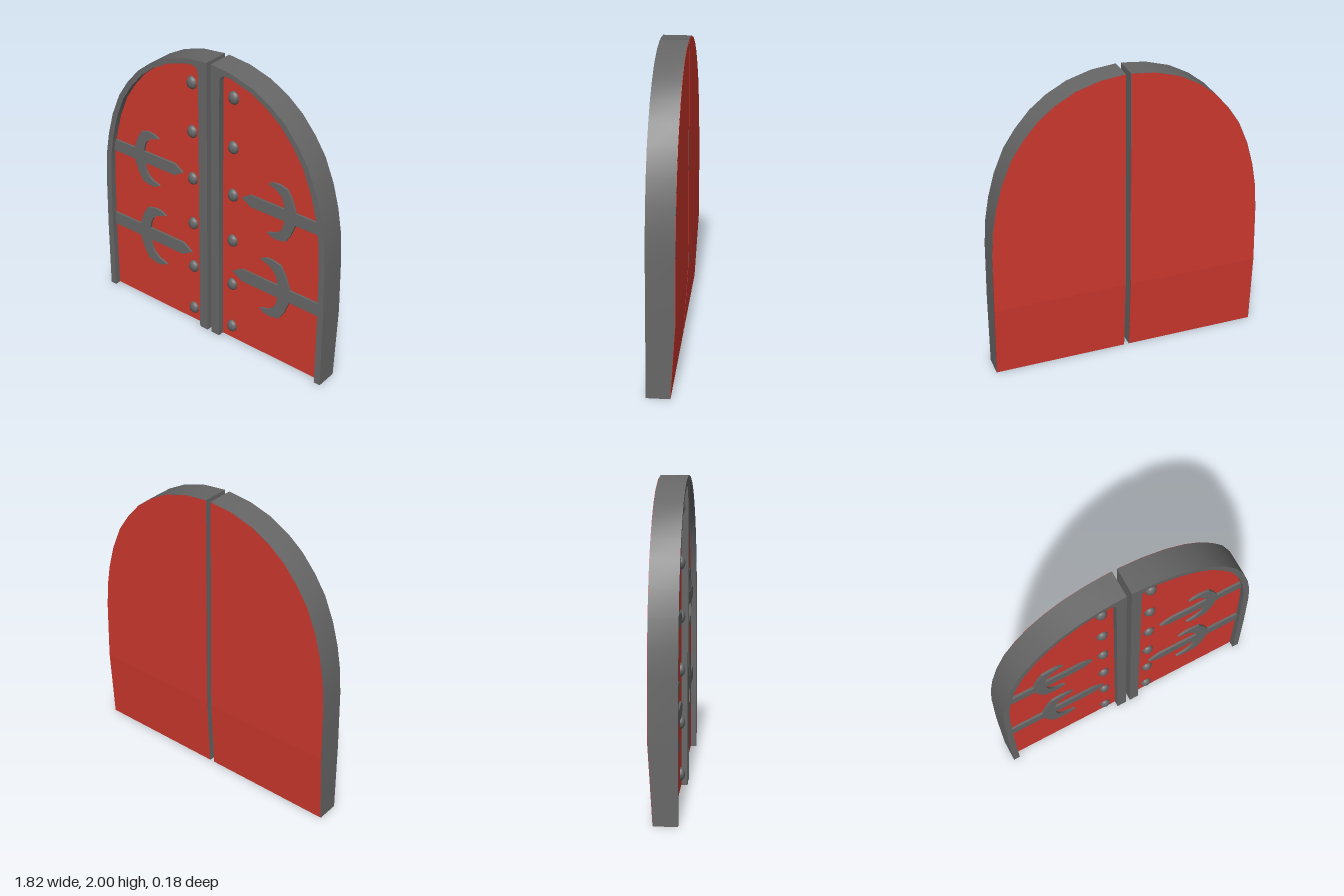
import * as THREE from 'three';
import { toCreasedNormals } from 'three/addons/utils/BufferGeometryUtils.js';

const iron = new THREE.MeshStandardMaterial({ color: 0x666666 });
const red = new THREE.MeshStandardMaterial({ color: 0xcc382e });

const GAP = 0.0165; // half gap between the leaves
const BEND = 0.5; // below this height the back tapers forward
const BACK = -0.09, FRONT = 0.09, PANEL = 0.05;

// outer curve of one leaf, from the foot to the crown
const ARCH = [
  [0.912, 0], [0.911, BEND], [0.903, 0.9], [0.89, 1.075], [0.862, 1.234], [0.818, 1.393],
  [0.751, 1.552], [0.672, 1.67], [0.576, 1.78], [0.468, 1.865], [0.336, 1.936], [0.177, 1.983], [GAP, 2],
];

// moves the arch inwards by a distance that may change from foot to crown
function insetArch(foot, crown) {
  const n = ARCH.length - 1;
  return ARCH.map(([x, y], i) => {
    const a = ARCH[Math.max(i - 1, 0)], b = ARCH[Math.min(i + 1, n)];
    const dx = b[0] - a[0], dy = b[1] - a[1], len = Math.hypot(dx, dy);
    const d = foot + (crown - foot) * i / n;
    return [x - dy / len * d, i ? y + dx / len * d : 0];
  });
}

// extrudes an outline between two depths, on side s, with the tapered back
function slab(points, s, z0, z1, material, name) {
  const shape = new THREE.Shape(points.map(([x, y]) => new THREE.Vector2(x * s, y)));
  const geo = new THREE.ExtrudeGeometry(shape, { depth: z1 - z0, bevelEnabled: false });
  geo.translate(0, 0, z0);
  const p = geo.attributes.position;
  for (let i = 0; i < p.count; i++) {
    const y = p.getY(i);
    if (p.getZ(i) < -0.05 && y < BEND) p.setZ(i, p.getZ(i) + 0.03 * (1 - y / BEND));
  }
  const mesh = new THREE.Mesh(toCreasedNormals(geo, 0.6), material);
  mesh.name = name;
  return mesh;
}

// strap with two curled arms; tip at the given x, reaching under the frame
function strapHinge(s, tip, y, k) {
  const upper = [
    [0.074, 0.046], [0.365, 0.046], [0.352, 0.1], [0.335, 0.137], [0.29, 0.172], [0.222, 0.193],
    [0.26, 0.215], [0.307, 0.221], [0.38, 0.205], [0.42, 0.14], [0.455, 0.046],
  ].map(([x, h]) => [tip + x * k, h * k]);
  upper.push([0.86, 0.046 * k]);
  const lower = upper.map(([x, h]) => [x, -h]).reverse();
  const outline = [[tip, 0], ...upper, ...lower].map(([x, h]) => [x, y + h]);
  return slab(outline, s, PANEL - 0.01, PANEL + 0.015, iron, 'strapHinge');
}

function doorLeaf(s) {
  const leaf = new THREE.Group();
  leaf.name = s > 0 ? 'leftDoor' : 'rightDoor';

  // iron rim: outer arch, then back along the inner edge, open at the foot
  const inner = insetArch(0.045, 0.032).slice(0, -1).reverse();
  const rim = [
    ...ARCH, [GAP, BEND], [GAP, 0], [0.083, 0], [0.083, BEND],
    [0.083, 1.9], [0.092, 1.935], [0.115, 1.953], ...inner,
  ];
  leaf.add(slab(rim, s, BACK + 0.002, FRONT, iron, 'frame'));

  // red board, in two pieces so the back bends cleanly
  const edge = insetArch(0.002, 0.002);
  const x0 = GAP + 0.002;
  edge[edge.length - 1][0] = x0;
  edge[1][1] = BEND;
  leaf.add(slab([[x0, 0.002], [edge[0][0], 0.002], edge[1], [x0, BEND]], s, BACK, PANEL, red, 'lowerPanel'));
  leaf.add(slab([[x0, BEND], ...edge.slice(1)], s, BACK, PANEL, red, 'upperPanel'));

  leaf.add(strapHinge(s, 0.243, 1.143, 0.91));
  leaf.add(strapHinge(s, 0.175, 0.555, 1));

  // row of domed rivets beside the centre stile
  for (let i = 0; i < 6; i++) {
    const rivet = new THREE.Mesh(new THREE.SphereGeometry(0.04, 8, 8), iron);
    rivet.name = 'rivet';
    rivet.scale.set(0.97, 1.13, 0.75);
    rivet.position.set(0.1645 * s, 0.1 + i * 0.342, PANEL);
    leaf.add(rivet);
  }
  return leaf;
}

export function createModel() {
  const model = new THREE.Group();
  model.name = 'archedDoubleDoor';
  model.add(doorLeaf(1), doorLeaf(-1));
  return model;
}
